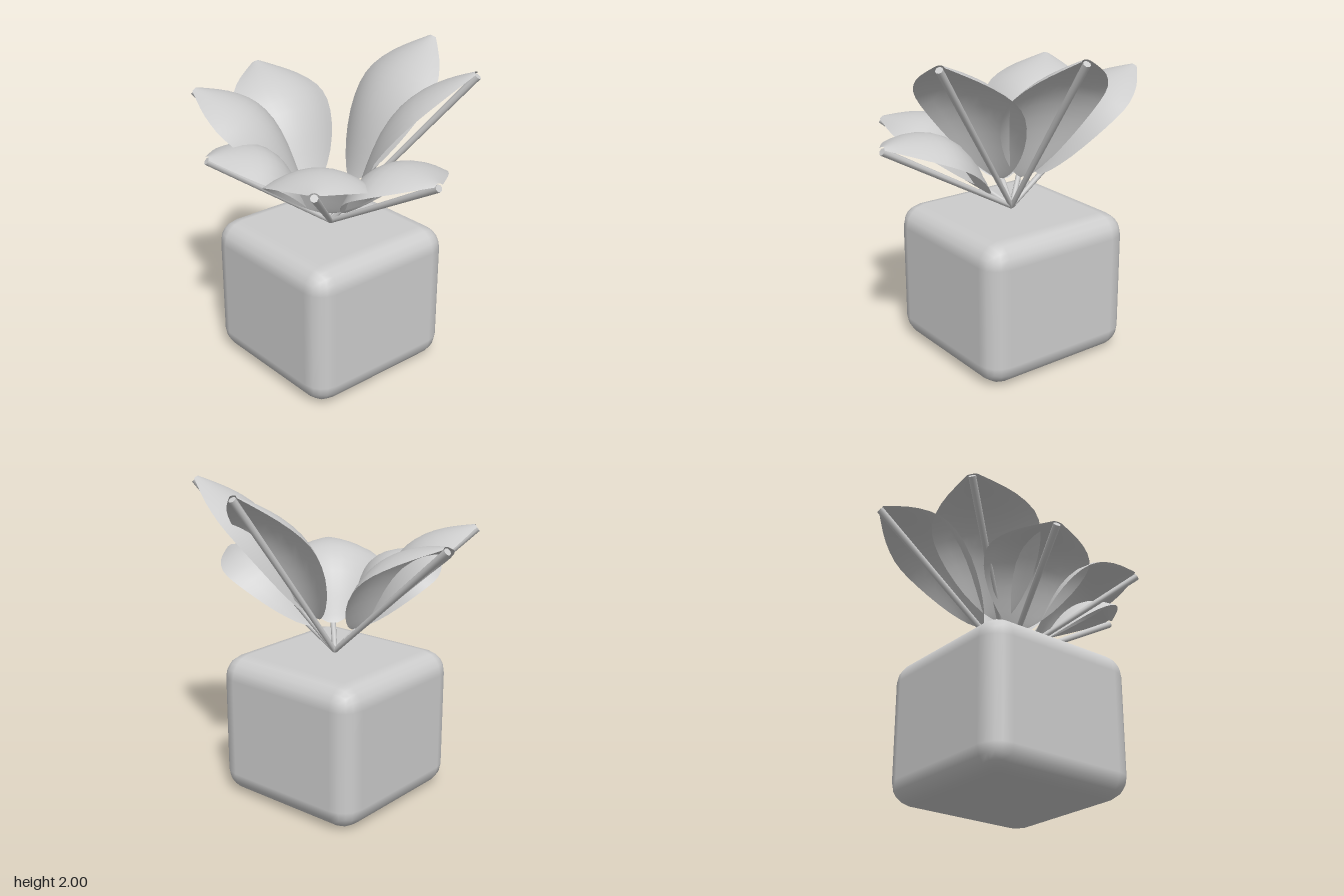
import * as THREE from 'three';
import { RoundedBoxGeometry } from 'three/addons/geometries/RoundedBoxGeometry.js';

const grey = new THREE.MeshStandardMaterial({ color: 0xcccccc });
grey.name = 'plain grey';
const greyThin = grey.clone();
greyThin.name = 'plain grey two-sided';
greyThin.side = THREE.DoubleSide;

const BASE = new THREE.Vector3(0, 0.93, 0.01);

// half-width of a blade from its root (x = 0) to its tip (x = 1)
const outline = new THREE.SplineCurve([
  [0, 0.03], [0.06, 0.1], [0.2, 0.2], [0.38, 0.285], [0.56, 0.33],
  [0.7, 0.315], [0.83, 0.23], [0.93, 0.12], [1, 0.03],
].map(([x, y]) => new THREE.Vector2(x, y)));

// domed blade: bowed above the stem along its length, drooping to its edges
function bladeGeometry(d, side, up, length, arch) {
  const rows = 16, cols = 10, start = 0.22;
  const pos = [], index = [];
  for (let i = 0; i <= rows; i++) {
    const o = outline.getPoint(i / rows);
    const v = Math.min(Math.max(o.x, 0), 1);
    const bow = arch * Math.sin(Math.PI * Math.pow(v, 1.15));
    for (let j = 0; j <= cols; j++) {
      const u = (j / cols) * 2 - 1;
      const droop = (0.65 * bow + 0.015 * v) * u * u;
      const p = BASE.clone()
        .addScaledVector(d, length * (start + (1.005 - start) * v))
        .addScaledVector(side, o.y * u)
        .addScaledVector(up, 0.02 + 0.008 * v + bow - droop);
      pos.push(p.x, p.y, p.z);
      if (i < rows && j < cols) {
        const a = i * (cols + 1) + j, b = a + cols + 1;
        index.push(a, a + 1, b, a + 1, b + 1, b);
      }
    }
  }
  const g = new THREE.BufferGeometry();
  g.setAttribute('position', new THREE.Float32BufferAttribute(pos, 3));
  g.setIndex(index);
  g.computeVertexNormals();
  return g;
}

// one leaf: straight stem with the blade above it
function makeLeaf(tip, arch) {
  const leaf = new THREE.Group();
  leaf.name = 'leaf';
  const d = tip.clone().sub(BASE);
  const length = d.length();
  d.normalize();
  const side = new THREE.Vector3().crossVectors(d, new THREE.Vector3(0, 1, 0)).normalize();
  const up = new THREE.Vector3().crossVectors(side, d);

  const stem = new THREE.Mesh(new THREE.CylinderGeometry(0.023, 0.016, length, 8), grey);
  stem.name = 'stem';
  stem.position.copy(BASE).addScaledVector(d, length / 2);
  stem.quaternion.setFromUnitVectors(new THREE.Vector3(0, 1, 0), d);

  const blade = new THREE.Mesh(bladeGeometry(d, side, up, length, arch), greyThin);
  blade.name = 'blade';
  leaf.add(stem, blade);
  return leaf;
}

export function createModel() {
  const model = new THREE.Group();
  model.name = 'pottedPlant';

  // rounded square pot
  const pot = new THREE.Mesh(new RoundedBoxGeometry(1.06, 0.91, 1.06, 2, 0.14), grey);
  pot.name = 'pot';
  pot.position.set(0, 0.46, 0.02);
  model.add(pot);

  // leaves: tip x, y, z, arch height
  const leaves = [
    [0.08, 1.98, -0.765, 0.16],
    [0.78, 1.975, -0.4, 0.165],
    [0.91, 1.455, 0.01, 0.2],
    [0.57, 1.455, 0.61, 0.2],
    [-0.23, 1.46, 0.755, 0.2],
    [-0.68, 1.72, 0.53, 0.175],
    [-0.9, 1.72, -0.11, 0.175],
  ];
  for (const [x, y, z, arch] of leaves) {
    model.add(makeLeaf(new THREE.Vector3(x, y, z), arch));
  }
  return model;
}
